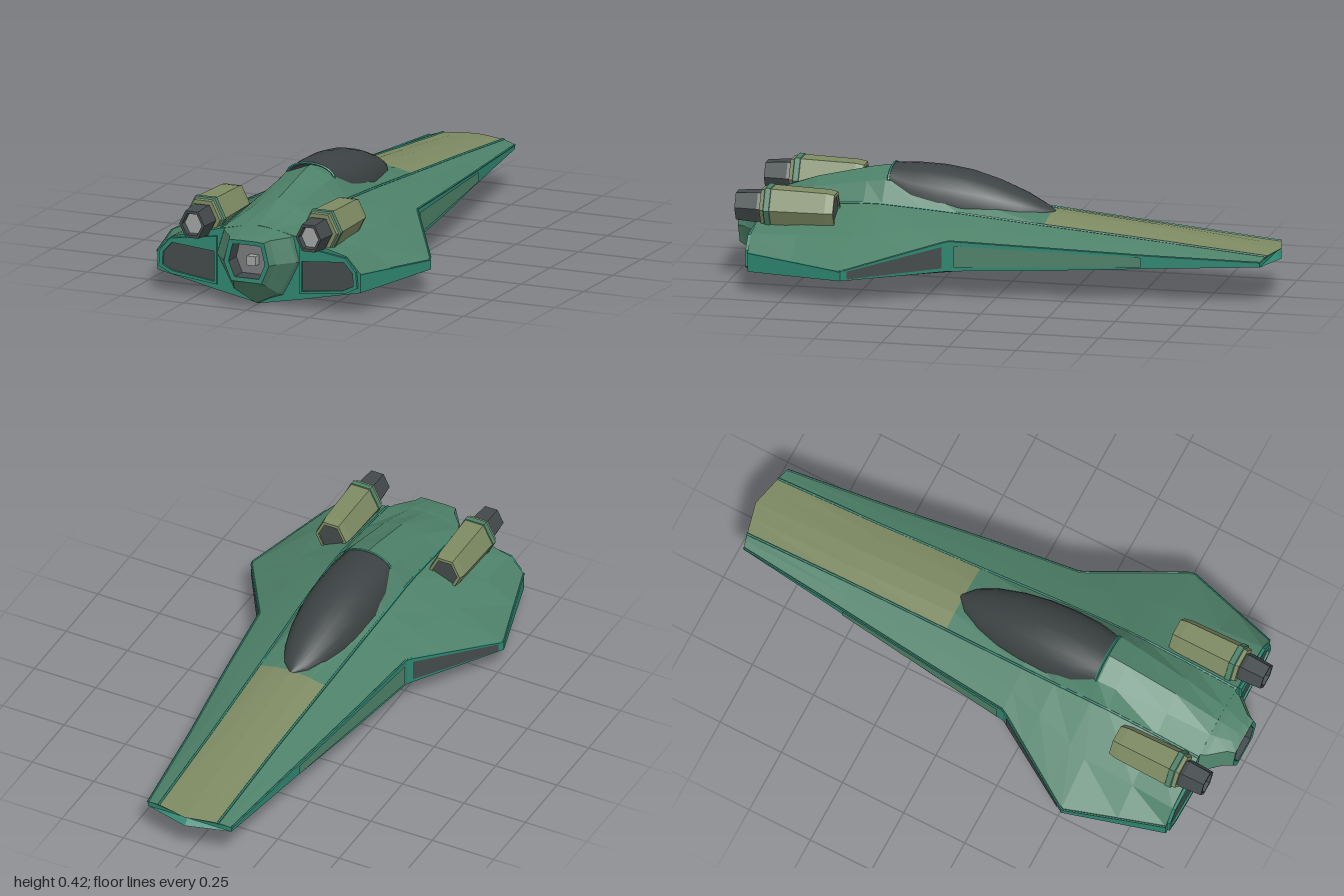
import * as THREE from 'three';

const mat = (color, flat = true) =>
  new THREE.MeshStandardMaterial({ color, flatShading: flat, side: THREE.DoubleSide });
const TEAL = mat(0x2f8570), GREEN = mat(0x4d8068), OLIVE = mat(0x7d8a62), UNDER = mat(0x2a6657);
const DARK = mat(0x434a4b), GLASS = mat(0x3c4243, false), GREY = mat(0x77797a), LIGHT = mat(0xa0a2a2);

const V = (x, y, z) => new THREE.Vector3(x, y, z);

function add(group, name, geometry, material) {
  const mesh = new THREE.Mesh(geometry, material);
  mesh.name = name;
  group.add(mesh);
  return mesh;
}

// Skin a grid of points, rows running towards +z; keep(j) selects columns
function skin(rows, keep = () => true) {
  const n = rows[0].length, index = [];
  for (let i = 0; i < rows.length - 1; i++) {
    for (let j = 0; j < n - 1; j++) {
      if (!keep(j)) continue;
      const a = i * n + j, b = a + 1, c = b + n, d = a + n;
      index.push(a, b, c, a, c, d);
    }
  }
  const g = new THREE.BufferGeometry().setFromPoints(rows.flat());
  g.setIndex(index);
  g.computeVertexNormals();
  return g;
}

// Fan that closes a ring, facing +z (dir 1) or -z (dir -1)
function cap(ring, dir) {
  const centre = ring.reduce((s, p) => s.add(p), V(0, 0, 0)).divideScalar(ring.length);
  const index = [];
  for (let j = 1; j < ring.length; j++) index.push(0, ...(dir > 0 ? [j, j + 1] : [j + 1, j]));
  const g = new THREE.BufferGeometry().setFromPoints([centre, ...ring]);
  g.setIndex(index);
  g.computeVertexNormals();
  return g;
}

// Half section from keel to roof becomes a closed mirrored ring
function mirrorRing(half) {
  const other = half.slice(0, -1).reverse().map(p => V(-p.x, p.y, p.z));
  return [...half, ...other];
}

// Four-cornered plate inset within its corners and lifted off the surface
function plate(corners, inset, lift) {
  const [a, b, c, d] = corners;
  const at = (u, v) => a.clone().lerp(b, u).lerp(d.clone().lerp(c, u), v);
  const n = b.clone().sub(a).cross(d.clone().sub(a)).normalize().multiplyScalar(lift);
  const [iu, iv] = inset;
  const rows = [[at(iu, iv), at(1 - iu, iv)], [at(iu, 1 - iv), at(1 - iu, 1 - iv)]];
  rows.flat().forEach(p => p.add(n));
  return skin(rows);
}

function trim(points, radius = 0.005) {
  const path = new THREE.CurvePath();
  for (let i = 1; i < points.length; i++) path.add(new THREE.LineCurve3(points[i - 1], points[i]));
  return new THREE.TubeGeometry(path, points.length * 8, radius, 5);
}

export function createModel() {
  const model = new THREE.Group();

  // Hull: z, keel y, edge x, edge bottom, edge top, knee xy, shoulder xy, ridge xy, roof y
  const stations = [
    [-1, 0.142, 0.17, 0.148, 0.165, 0.145, 0.172, 0.12, 0.177, 0.06, 0.179, 0.18],
    [-0.55, 0.096, 0.215, 0.13, 0.178, 0.17, 0.198, 0.125, 0.215, 0.07, 0.224, 0.23],
    [-0.15, 0.06, 0.265, 0.112, 0.198, 0.20, 0.226, 0.135, 0.25, 0.07, 0.265, 0.272],
    [0.17, 0.03, 0.30, 0.10, 0.212, 0.23, 0.245, 0.145, 0.28, 0.09, 0.32, 0.345],
    [0.30, 0.016, 0.38, 0.098, 0.182, 0.265, 0.24, 0.148, 0.29, 0.1, 0.35, 0.39],
    [0.45, 0.003, 0.472, 0.096, 0.147, 0.31, 0.225, 0.15, 0.30, 0.095, 0.375, 0.412],
    [0.52, 0, 0.515, 0.095, 0.13, 0.33, 0.217, 0.15, 0.30, 0.09, 0.365, 0.40],
    [0.72, 0, 0.455, 0.088, 0.142, 0.34, 0.213, 0.15, 0.285, 0.075, 0.33, 0.353],
    [0.89, 0, 0.405, 0.083, 0.152, 0.35, 0.212, 0.15, 0.265, 0.06, 0.285, 0.292],
  ];
  const rings = stations.map(([z, yb, xe, eb, et, xk, yk, xs, ys, xr, yr, yt]) => {
    const sweep = x => (z === -1 ? z + 0.04 * x / 0.17 : z); // pointed nose edge
    const pts = [[0, yb], [xe * 0.45, yb + (eb - yb) * 0.43], [xe, eb], [xe, et], [xk, yk],
      [xs, ys], [xr, yr], [0, yt]];
    return mirrorRing(pts.map(([x, y]) => V(x, y, sweep(x))));
  });
  const hull = new THREE.Group();
  hull.name = 'hull';
  model.add(hull);
  const bands = [['underside', 0, 1, UNDER], ['sideEdge', 2, 2, TEAL], ['upperWing', 3, 4, GREEN]];
  for (const [name, from, to, material] of bands) {
    add(hull, name, skin(rings, j => Math.min(j, 13 - j) >= from && Math.min(j, 13 - j) <= to), material);
  }
  const deck = j => j >= 5 && j <= 8;
  add(hull, 'noseDeck', skin(rings.slice(0, 3), deck), OLIVE);
  add(hull, 'spine', skin(rings.slice(2), deck), GREEN);
  add(hull, 'noseCap', cap(rings[0], -1), TEAL);
  add(hull, 'rearWall', cap(rings.at(-1), 1), TEAL);

  // Canopy: z, half width, base y, top y
  const canopyRows = [
    [-0.16, 0.005, 0.268, 0.275], [-0.12, 0.05, 0.268, 0.298], [-0.05, 0.085, 0.27, 0.335],
    [0.05, 0.112, 0.28, 0.375], [0.15, 0.126, 0.288, 0.404], [0.25, 0.13, 0.298, 0.419],
    [0.35, 0.122, 0.32, 0.422], [0.44, 0.095, 0.365, 0.416],
  ].map(([z, w, y0, y1]) => Array.from({ length: 13 }, (_, k) => {
    const t = Math.PI * k / 12;
    return V(w * Math.cos(t), y0 + (y1 - y0) * Math.sin(t), z);
  }));
  add(model, 'canopy', skin(canopyRows), GLASS);
  add(model, 'canopyRearFrame', trim(canopyRows.at(-1)), TEAL);

  // Rear nozzle fairing with a recessed exhaust
  const section = (z, pts) => mirrorRing(pts.map(([x, y]) => V(x, y, z)));
  const mouth = [[0, 0.105], [0.06, 0.105], [0.09, 0.175], [0.07, 0.258], [0.035, 0.26], [0, 0.26]];
  const inner = mouth.map(([x, y]) => [x * 0.8, 0.182 + (y - 0.182) * 0.8]);
  const fairing = [
    section(0.87, [[0, 0], [0.1, 0.035], [0.165, 0.17], [0.145, 0.268], [0.06, 0.288], [0, 0.293]]),
    section(0.91, [[0, 0.005], [0.09, 0.05], [0.158, 0.175], [0.13, 0.265], [0.055, 0.283], [0, 0.287]]),
    section(0.97, [[0, 0.075], [0.065, 0.09], [0.105, 0.175], [0.08, 0.262], [0.04, 0.27], [0, 0.272]]),
    section(1, mouth),
  ];
  add(model, 'nozzleFairing', skin(fairing), GREEN);
  add(model, 'nozzleRim', skin([section(1, mouth), section(0.998, inner)]), TEAL);
  add(model, 'nozzleRecess', skin([section(0.998, inner), section(0.93, inner)]), DARK);
  add(model, 'nozzleBack', cap(section(0.93, inner), 1), GREY);
  add(model, 'exhaustBlock', new THREE.BoxGeometry(0.035, 0.035, 0.03), LIGHT).position.set(0, 0.175, 0.945);

  for (const s of [1, -1]) {
    const side = new THREE.Group();
    side.name = s > 0 ? 'leftSide' : 'rightSide';
    model.add(side);
    const col = j => rings.map(r => r[s > 0 ? j : 14 - j]);
    const [bottom, top, shoulder] = [col(2), col(3), col(5)];

    // Raised seams along shoulder and edge
    add(side, 'shoulderSeam', trim(shoulder), TEAL);
    add(side, 'edgeSeam', trim(top, 0.004), TEAL);

    // Panels set in the outer walls
    const wall = (i, k) => [bottom[i], top[i], top[k], bottom[k]];
    add(side, 'noseSidePanel', plate(wall(1, 3), [0.14, 0.03], s * 0.006), GREEN);
    add(side, 'wingSidePanel', plate(wall(3, 6), [0.13, 0.06], s * 0.003), DARK);

    // Framed dark panel in the rear of the wing
    const outline = [[0.165, 0.055], [0.345, 0.075], [0.395, 0.1], [0.39, 0.16], [0.35, 0.208], [0.165, 0.235]];
    const hole = [[0.175, 0.065], [0.34, 0.087], [0.38, 0.107], [0.377, 0.155], [0.342, 0.193], [0.175, 0.178]];
    const toPath = pts => pts.map(([x, y]) => new THREE.Vector2(s * x, y));
    const frame = new THREE.Shape(toPath(outline));
    frame.holes.push(new THREE.Path(toPath(hole)));
    add(side, 'wingRearFrame', new THREE.ExtrudeGeometry(frame, { depth: 0.014, bevelEnabled: false }), TEAL)
      .position.z = 0.887;
    add(side, 'wingRearPanel', new THREE.ShapeGeometry(new THREE.Shape(toPath(hole))), DARK)
      .position.z = 0.893;

    // Engine pod: six-sided prism with intake and exhaust
    const pod = new THREE.Group();
    pod.name = 'enginePod';
    pod.position.set(s * 0.232, 0.287, 0);
    pod.scale.y = 1.15;
    side.add(pod);
    const hex = (r, z) => Array.from({ length: 7 }, (_, k) => {
      const t = -Math.PI * k / 3;
      return V(r * Math.cos(t), r * Math.sin(t), z);
    }).reverse();
    const tube = (name, profile, material) => add(pod, name, skin(profile.map(p => hex(...p))), material);
    tube('podShell', [[0.05, 0.6], [0.062, 0.6], [0.068, 0.63], [0.074, 0.84], [0.068, 0.872], [0.05, 0.872]], OLIVE);
    tube('podBand', [[0.066, 0.83], [0.077, 0.835], [0.077, 0.855], [0.066, 0.86]], GREEN);
    add(pod, 'podIntake', cap(hex(0.052, 0.606), -1), DARK);
    tube('podExhaust', [[0.05, 0.86], [0.056, 0.885], [0.05, 0.968], [0.04, 0.968], [0.036, 0.93]], DARK);
    add(pod, 'podExhaustCore', cap(hex(0.04, 0.945), 1), LIGHT);
  }
  return model;
}
